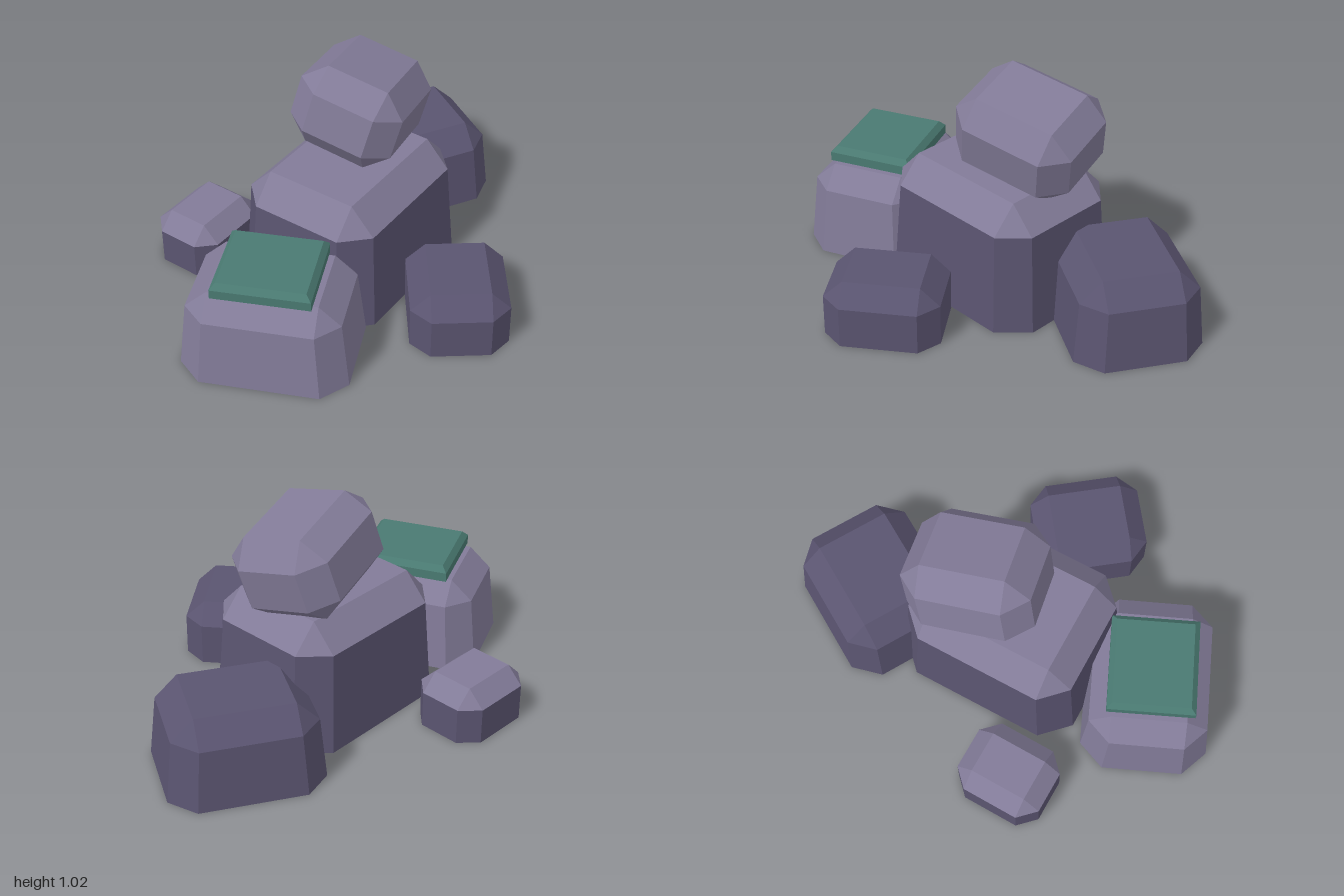
import * as THREE from 'three';

const material = (name, color) => {
  const m = new THREE.MeshStandardMaterial({ color, flatShading: true, side: THREE.DoubleSide });
  m.name = name;
  return m;
};

// Rectangle with cut corners at height y; a, b are half sizes, c is the cut
function ring(a, b, c, y) {
  return [
    [a, b - c], [a, c - b], [a - c, -b], [c - a, -b],
    [-a, c - b], [-a, b - c], [c - a, b], [a - c, b],
  ].map(([x, z]) => new THREE.Vector3(x, y, z));
}

// Skin between successive rings, optionally closed at either end
function loft(rings, closeTop, closeBottom) {
  const pos = [];
  const tri = (p, q, r) => {
    const area = q.clone().sub(p).cross(r.clone().sub(p)).length();
    if (area > 1e-7) for (const v of [p, q, r]) pos.push(v.x, v.y, v.z);
  };
  for (let k = 0; k < rings.length - 1; k++) {
    const lo = rings[k], hi = rings[k + 1];
    for (let i = 0; i < 8; i++) {
      const j = (i + 1) % 8;
      tri(lo[i], lo[j], hi[j]);
      tri(lo[i], hi[j], hi[i]);
    }
  }
  const first = rings[0], last = rings[rings.length - 1];
  for (let i = 1; i < 7; i++) {
    if (closeTop) tri(last[0], last[i], last[i + 1]);
    if (closeBottom) tri(first[0], first[i + 1], first[i]);
  }
  const g = new THREE.BufferGeometry();
  g.setAttribute('position', new THREE.Float32BufferAttribute(pos, 3));
  g.computeVertexNormals();
  return g;
}

function part(parent, name, geometry, mat) {
  const m = new THREE.Mesh(geometry, mat);
  m.name = name;
  parent.add(m);
  return m;
}

export function createModel() {
  const model = new THREE.Group();
  model.name = 'rockPile';
  const light = material('light stone', 0x827b98);
  const dark = material('dark stone', 0x5a5470);
  const moss = material('moss', 0x4a7a72);

  // Ground rocks: tapered walls, open below, with a bevelled cap
  const rocks = [
    { name: 'mainRock', at: [0.01, -0.1], turn: 12, a: 0.435, b: 0.35, c: 0.12, wall: 0.46, top: 0.58, taper: 0.925, mats: [dark, light] },
    { name: 'mossyRock', at: [-0.622, 0.1], turn: 35.5, a: 0.285, b: 0.365, c: 0.105, wall: 0.31, top: 0.4, taper: 0.91, mats: [light, light] },
    { name: 'sideRock', at: [0.615, -0.34], turn: -19, a: 0.335, b: 0.285, c: 0.105, wall: 0.278, top: 0.375, taper: 0.92, mats: [dark, dark] },
    { name: 'frontRock', at: [0.073, 0.51], turn: 49, a: 0.252, b: 0.215, c: 0.085, wall: 0.19, top: 0.273, taper: 1, mats: [dark, dark] },
    { name: 'backRock', at: [-0.405, -0.612], turn: 11, a: 0.205, b: 0.17, c: 0.075, wall: 0.165, top: 0.24, taper: 1, mats: [dark, light] },
  ];
  for (const { name, at, turn, a, b, c, wall, top, taper: t, mats } of rocks) {
    const rock = new THREE.Group();
    rock.name = name;
    rock.position.set(at[0], 0, at[1]);
    rock.rotation.y = THREE.MathUtils.degToRad(turn);
    const rim = ring(a * t, b * t, c * t, wall);
    part(rock, name + 'Walls', loft([ring(a, b, c, 0), rim]), mats[0]);
    part(rock, name + 'Cap', loft([rim, ring((a - c) * t, (b - c) * t, 0, top)], true), mats[1]);
    model.add(rock);
  }

  // Moss slab with a bevelled upper edge
  const slab = part(model, 'mossSlab', loft([
    ring(0.193, 0.213, 0, 0), ring(0.193, 0.213, 0, 0.042), ring(0.17, 0.19, 0, 0.068),
  ], true, true), moss);
  slab.position.set(-0.625, 0.4, 0.1);
  slab.rotation.y = THREE.MathUtils.degToRad(36);

  // Tilted boulder, bevelled on every edge
  const a = 0.285, b = 0.24, h = 0.193, c = 0.1;
  const boulder = part(model, 'topBoulder', loft([
    ring(a - c, b - c, 0, -h), ring(a, b, c, c - h), ring(a, b, c, h - c), ring(a - c, b - c, 0, h),
  ], true, true), light);
  boulder.position.set(0.14, 0.775, -0.165);
  boulder.rotation.set(0.23, 0.4, -0.176, 'YXZ');

  return model;
}
